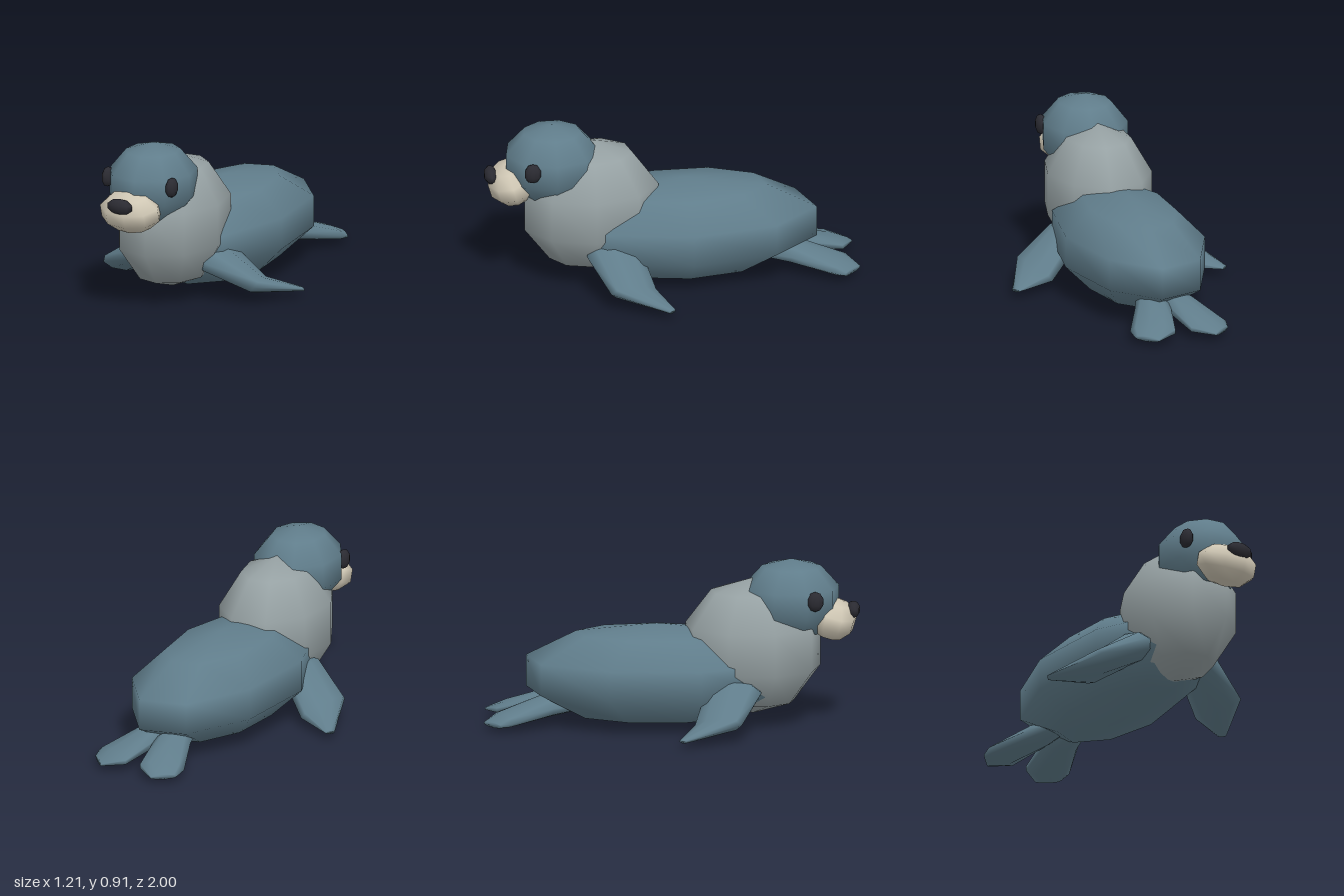
import * as THREE from 'three';

const mat = (name, color) => {
  const m = new THREE.MeshStandardMaterial({ color });
  m.name = name;
  return m;
};

// Low-sided ellipsoid with upright poles and a corner on +x
function blob(name, material, center, radii, tilt = 0) {
  const geo = new THREE.SphereGeometry(1, 9, 5).rotateY(Math.PI);
  const mesh = new THREE.Mesh(geo, material);
  mesh.name = name;
  mesh.scale.set(...radii);
  mesh.position.set(...center);
  mesh.rotation.x = tilt;
  return mesh;
}

// Skin over elliptical sections [center, chord half-axis, thickness half-axis]; side -1 mirrors it
function flipper(name, material, sections, side) {
  const n = 9, pos = [], idx = [];
  const tri = (a, b, c) => (side > 0 ? idx.push(a, c, b) : idx.push(a, b, c));
  for (const [c, a, b] of sections) {
    for (let j = 0; j < n; j++) {
      const t = (j / n) * Math.PI * 2, u = Math.cos(t), v = Math.sin(t);
      const p = c.map((k, i) => k + a[i] * u + b[i] * v);
      pos.push(p[0] * side, p[1], p[2]);
    }
  }
  const last = (sections.length - 1) * n;
  for (let i = 0; i < last; i += n) {
    for (let j = 0; j < n; j++) {
      const k = (j + 1) % n;
      tri(i + j, i + k, i + n + k);
      tri(i + j, i + n + k, i + n + j);
    }
  }
  // End caps
  for (let j = 1; j < n - 1; j++) {
    tri(0, j + 1, j);
    tri(last, last + j, last + j + 1);
  }
  const geo = new THREE.BufferGeometry();
  geo.setAttribute('position', new THREE.Float32BufferAttribute(pos, 3));
  geo.setIndex(idx);
  geo.computeVertexNormals();
  const mesh = new THREE.Mesh(geo, material);
  mesh.name = name;
  return mesh;
}

export function createModel() {
  const model = new THREE.Group();
  model.name = 'seal';
  const blue = mat('slateBlue', 0x607d8b);
  const grey = mat('chestGrey', 0x96a1a3);
  const cream = mat('muzzleCream', 0xcfc7b4);
  const dark = mat('darkCharcoal', 0x2b2b32);

  // Trunk, chest and head
  model.add(
    blob('body', blue, [0, 0.28, -0.08], [0.379, 0.275, 0.745]),
    blob('chest', grey, [0, 0.435, 0.43], [0.294, 0.37, 0.384]),
    blob('head', blue, [0, 0.69, 0.635], [0.242, 0.22, 0.27]),
    blob('muzzle', cream, [0, 0.583, 0.855], [0.182, 0.113, 0.13], 0.28),
    blob('nose', dark, [0, 0.633, 0.965], [0.079, 0.043, 0.037])
  );

  const foreSections = [
    [[0.1, 0.26, 0.33], [0, 0, 0.1], [0.03, 0.05, 0]],
    [[0.235, 0.22, 0.33], [0, 0.01, 0.15], [0.045, 0.07, -0.02]],
    [[0.42, 0.09, 0.25], [0.05, 0.02, 0.13], [0.035, 0.048, 0]],
    [[0.588, 0.046, 0.066], [0.018, 0, 0.018], [0, 0.009, 0]],
  ];
  const hindSections = [
    [[0.05, 0.13, -0.5], [0.06, 0, 0.02], [0, 0.04, 0]],
    [[0.075, 0.12, -0.66], [0.09, 0, 0.03], [0, 0.055, -0.02]],
    [[0.155, 0.062, -0.89], [0.116, 0, 0.045], [0, 0.034, 0]],
    [[0.21, 0.043, -0.95], [0.053, 0, 0.05], [0, 0.014, 0]],
  ];

  // Paired parts
  for (const [label, s] of [['left', 1], ['right', -1]]) {
    model.add(
      blob(label + 'Eye', dark, [0.2 * s, 0.72, 0.765], [0.03, 0.055, 0.046]),
      flipper(label + 'ForeFlipper', blue, foreSections, s),
      flipper(label + 'HindFlipper', blue, hindSections, s)
    );
  }
  return model;
}
